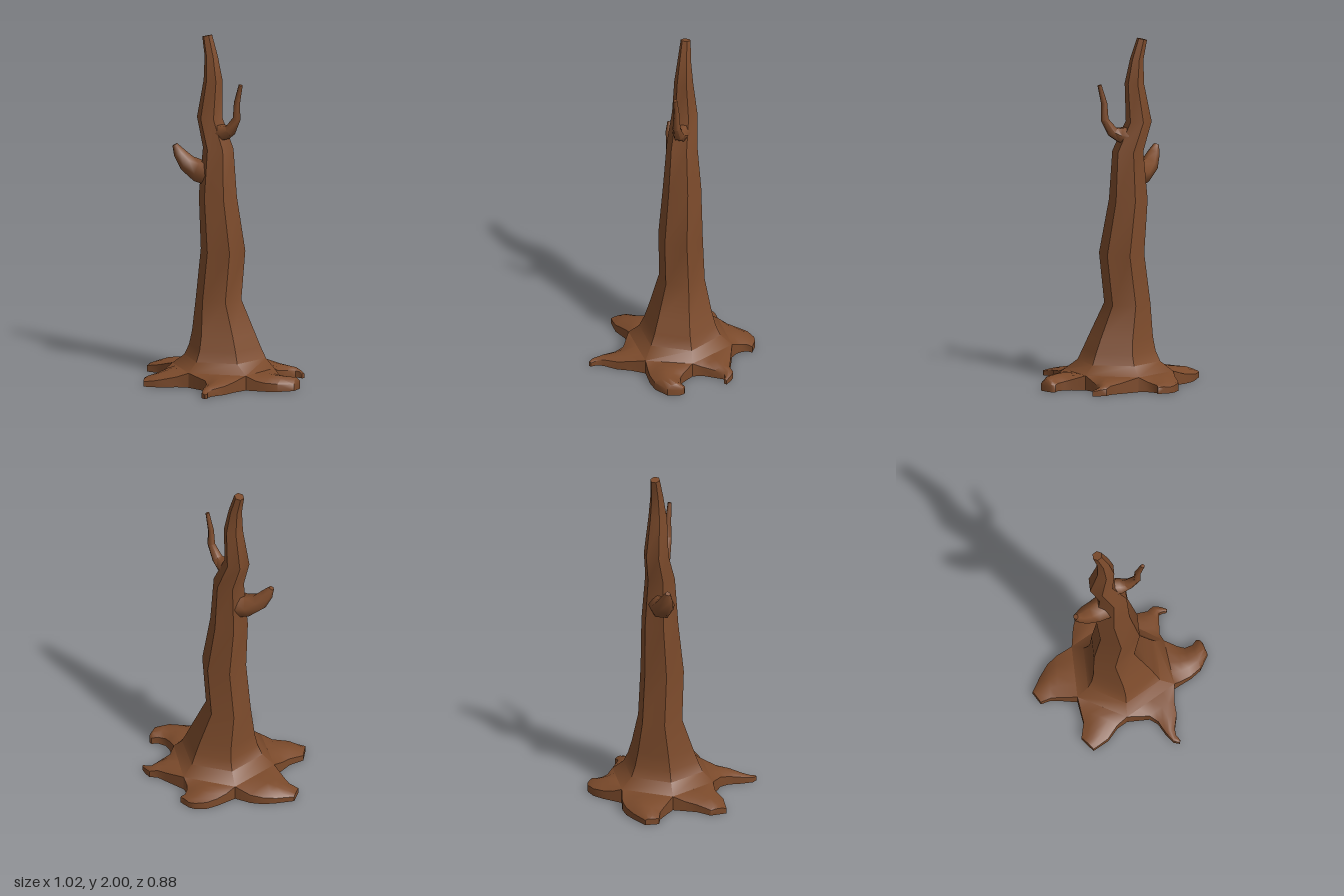
import * as THREE from 'three';
import { toCreasedNormals } from 'three/addons/utils/BufferGeometryUtils.js';

const bark = new THREE.MeshStandardMaterial({ color: 0x7b4a2b, side: THREE.DoubleSide });
const V = (x, y, z) => new THREE.Vector3(x, y, z);

// Skin a list of equal-length cross-sections and cap the last one
function loft(name, rings, closed, crease) {
  const n = rings[0].length, pos = [], idx = [];
  rings.forEach(r => r.forEach(p => pos.push(p.x, p.y, p.z)));
  for (let i = 0; i < rings.length - 1; i++) {
    for (let j = 0; j < (closed ? n : n - 1); j++) {
      const a = i * n + j, b = i * n + (j + 1) % n;
      idx.push(a, b, b + n, a, b + n, a + n);
    }
  }
  const last = rings[rings.length - 1], base = (rings.length - 1) * n;
  const c = last.reduce((s, p) => s.add(p), V(0, 0, 0)).divideScalar(n);
  pos.push(c.x, c.y, c.z);
  for (let j = 0; j < n; j++) idx.push(base + j, base + (j + 1) % n, rings.length * n);
  const geo = new THREE.BufferGeometry();
  geo.setAttribute('position', new THREE.Float32BufferAttribute(pos, 3));
  geo.setIndex(idx);
  const mesh = new THREE.Mesh(toCreasedNormals(geo, crease), bark);
  mesh.name = name;
  return mesh;
}

// Tapering limb: each row is x, y, z, radius
function limb(name, rows, sides) {
  const pts = rows.map(r => V(r[0], r[1], r[2]));
  const rings = rows.map((row, i) => {
    const t = pts[Math.min(i + 1, pts.length - 1)].clone().sub(pts[Math.max(i - 1, 0)]).normalize();
    const u = V(0, 0, 1).addScaledVector(t, -t.z).normalize();
    const w = t.clone().cross(u);
    return Array.from({ length: sides }, (_, k) => {
      const a = k / sides * Math.PI * 2;
      return pts[i].clone().addScaledVector(u, row[3] * Math.cos(a)).addScaledVector(w, row[3] * Math.sin(a));
    });
  });
  return loft(name, rings, true, 1.1);
}

// Foot of the trunk: six corners (x, z), where neighbouring roots meet
const FOOT_Y = 0.085;
const foot = [[0.30, 0.10], [0.27, -0.17], [0.01, -0.34], [-0.26, -0.19], [-0.26, 0.12], [0.01, 0.27]];

// Trunk sections: y, centre x, radius
const trunkRows = [
  [0.14, 0.012, 0.24], [0.2, 0.011, 0.212], [0.28, 0, 0.186], [0.47, -0.04, 0.134],
  [0.76, -0.005, 0.131], [1.07, -0.046, 0.112], [1.35, -0.043, 0.09], [1.52, -0.11, 0.075],
  [1.74, -0.083, 0.056], [1.88, -0.098, 0.039], [1.995, -0.13, 0.029],
];

// Roots: sections outward from the foot, each left x, z, right x, z, edge height, crown height
const roots = {
  rootLeft: [
    [0.345, -0.135, 0.35, 0.075, 0.06, 0.088], [0.385, -0.125, 0.40, 0.05, 0.05, 0.085],
    [0.43, -0.14, 0.46, 0.005, 0.045, 0.08], [0.455, -0.17, 0.51, -0.08, 0.04, 0.07],
    [0.47, -0.17, 0.49, -0.15, 0.035, 0.045]],
  rootBackLeft: [
    [0.13, -0.36, 0.25, -0.22, 0.06, 0.08], [0.195, -0.37, 0.255, -0.30, 0.05, 0.068],
    [0.23, -0.40, 0.26, -0.355, 0.04, 0.055], [0.27, -0.395, 0.285, -0.365, 0.035, 0.04],
    [0.31, -0.38, 0.305, -0.365, 0.025, 0.03]],
  rootBackRight: [
    [-0.25, -0.25, -0.035, -0.355, 0.06, 0.085], [-0.24, -0.31, -0.06, -0.38, 0.05, 0.075],
    [-0.22, -0.375, -0.075, -0.41, 0.045, 0.06], [-0.175, -0.425, -0.07, -0.435, 0.04, 0.045],
    [-0.14, -0.44, -0.07, -0.44, 0.035, 0.04]],
  rootRight: [
    [-0.37, 0.10, -0.35, -0.155, 0.055, 0.083], [-0.41, 0.095, -0.41, -0.11, 0.045, 0.075],
    [-0.47, 0.11, -0.455, -0.05, 0.035, 0.055], [-0.49, 0.075, -0.51, 0.04, 0.03, 0.037]],
  rootFrontRight: [
    [-0.05, 0.305, -0.25, 0.19, 0.06, 0.085], [-0.11, 0.375, -0.24, 0.26, 0.045, 0.068],
    [-0.155, 0.40, -0.26, 0.345, 0.035, 0.05], [-0.20, 0.425, -0.26, 0.35, 0.03, 0.038]],
  rootFrontLeft: [
    [0.29, 0.19, 0.14, 0.27, 0.06, 0.08], [0.295, 0.27, 0.185, 0.305, 0.05, 0.068],
    [0.275, 0.355, 0.22, 0.37, 0.04, 0.052], [0.28, 0.395, 0.26, 0.425, 0.03, 0.038],
    [0.30, 0.42, 0.295, 0.435, 0.025, 0.028]],
};

// Arched root section standing on the ground
function rootSection([lx, lz, rx, rz, edge, crown]) {
  const arc = [0, 0.25, 0.5, 0.75, 1].map(t =>
    V(lx + (rx - lx) * t, edge + (crown - edge) * 4 * t * (1 - t), lz + (rz - lz) * t));
  return [V(lx, 0, lz), ...arc, V(rx, 0, rz)];
}

export function createModel() {
  const tree = new THREE.Group();
  tree.name = 'deadTree';

  // Six-sided trunk flaring into the foot, open below
  const hex = trunkRows.map(([y, cx, r], i) => foot.map((_, k) => {
    const a = Math.PI / 6 - k * Math.PI / 3;
    const tilt = i === trunkRows.length - 1 ? Math.cos(a) * 0.007 : 0;
    return V(cx + r * Math.cos(a), y + tilt, -0.033 + r * Math.sin(a));
  }));
  tree.add(loft('trunk', [foot.map(([x, z]) => V(x, FOOT_Y, z)), ...hex], true, 0.8));

  // One root from each side of the foot
  Object.entries(roots).forEach(([name, rows], i) => {
    const start = [...foot[(i + 1) % 6], ...foot[i], FOOT_Y, FOOT_Y];
    tree.add(loft(name, [start, ...rows].map(rootSection), false, 0.8));
  });

  // Broken branches
  tree.add(limb('branchLeft', [
    [-0.05, 1.44, -0.035, 0.055], [0.01, 1.447, -0.035, 0.046], [0.05, 1.465, -0.035, 0.034],
    [0.1, 1.54, -0.035, 0.023], [0.103, 1.635, -0.035, 0.018], [0.132, 1.742, -0.035, 0.012]], 6));
  tree.add(limb('branchRight', [
    [-0.07, 1.2, -0.02, 0.08], [-0.15, 1.21, 0.02, 0.066], [-0.21, 1.25, 0.05, 0.052],
    [-0.245, 1.31, 0.078, 0.036], [-0.267, 1.357, 0.092, 0.016]], 6));
  return tree;
}
